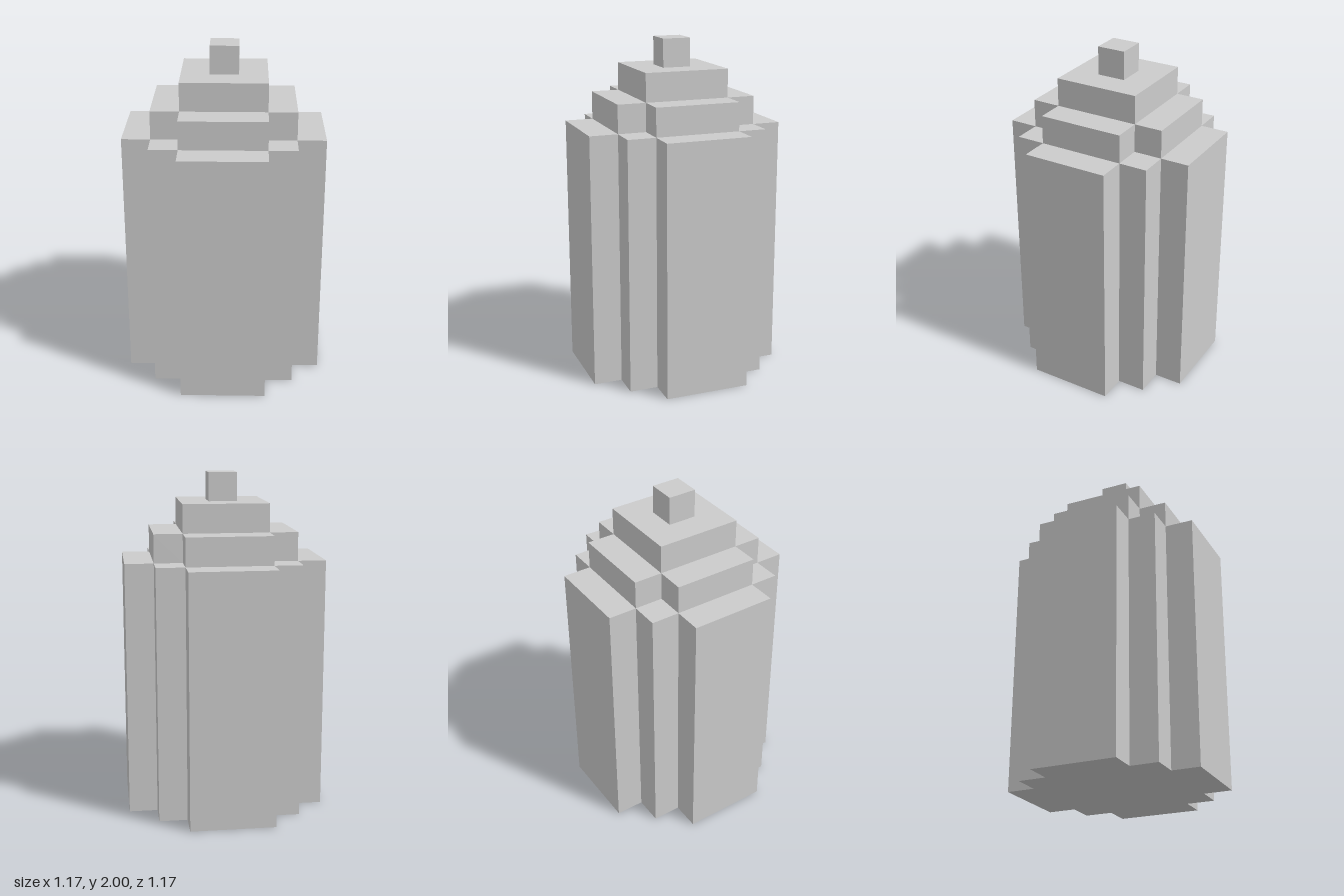
import * as THREE from 'three';

const U = 1 / 6; // one block

// Extrudes a four-fold symmetric outline, given by the corners of one quadrant in blocks.
function tier(name, quadrant, bottom, top, material) {
  const points = [];
  for (let turn = 0; turn < 4; turn++) {
    for (const [a, b] of quadrant) {
      let x = a * U, y = b * U;
      for (let i = 0; i < turn; i++) [x, y] = [-y, x];
      points.push(new THREE.Vector2(x, y));
    }
  }
  const geometry = new THREE.ExtrudeGeometry(new THREE.Shape(points), {
    depth: (top - bottom) * U,
    bevelEnabled: false,
  });
  geometry.rotateX(-Math.PI / 2);
  const mesh = new THREE.Mesh(geometry, material);
  mesh.name = name;
  mesh.position.y = bottom * U;
  return mesh;
}

export function createModel() {
  const model = new THREE.Group();
  model.name = 'steppedTower';
  const grey = new THREE.MeshStandardMaterial({ color: 0xcccccc, flatShading: true });

  model.add(
    // tall body with stepped corners
    tier('body', [[3.5, 1.5], [2.5, 1.5], [2.5, 2.5], [1.5, 2.5], [1.5, 3.5]], 0, 9, grey),
    // cross-shaped shoulder
    tier('shoulder', [[2.5, 1.5], [1.5, 1.5], [1.5, 2.5]], 9, 10, grey),
    // square cap and the single block on top
    tier('cap', [[1.5, 1.5]], 10, 11, grey),
    tier('finial', [[0.5, 0.5]], 11, 12, grey),
  );
  return model;
}
